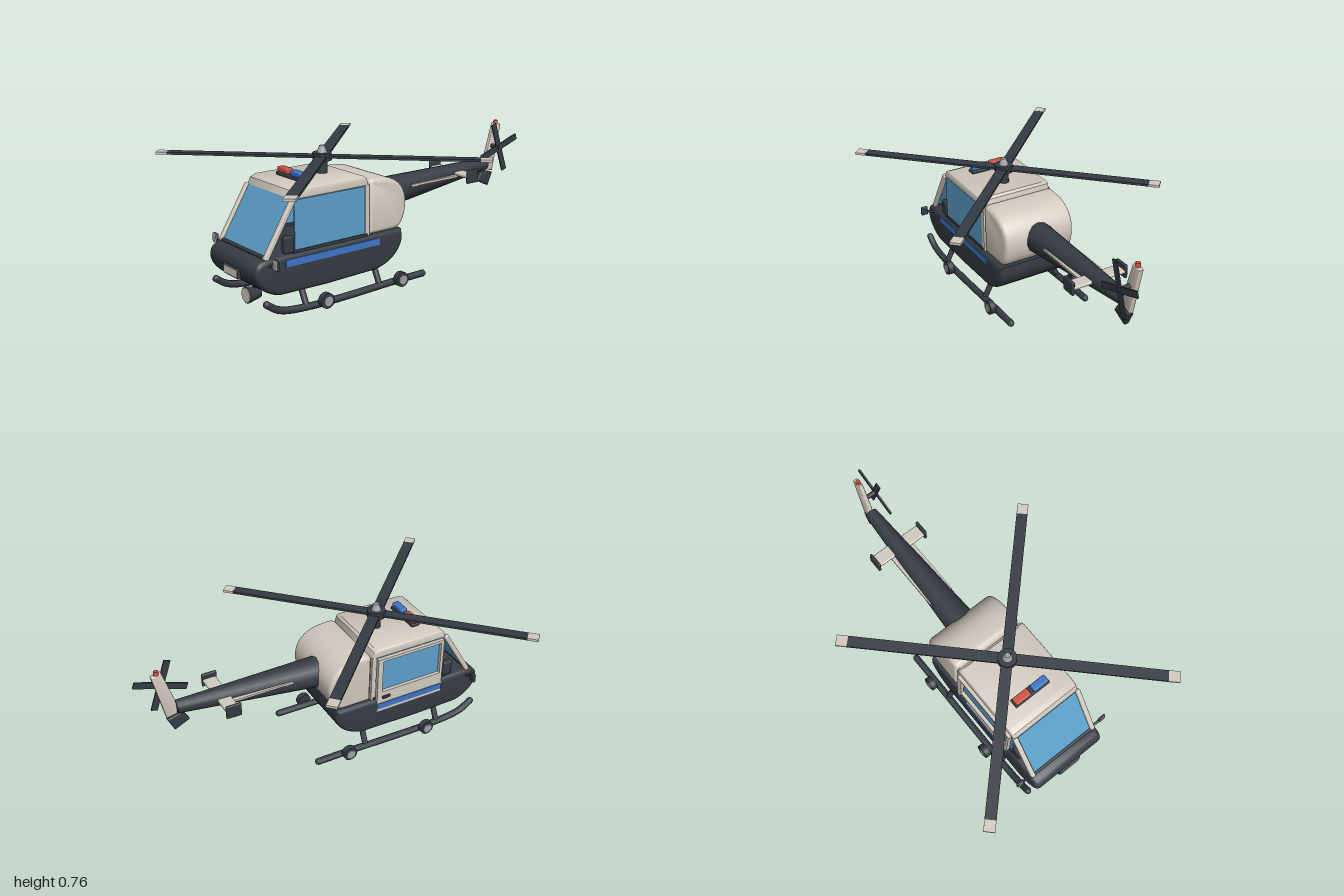
import * as THREE from 'three';
import { toCreasedNormals } from 'three/addons/utils/BufferGeometryUtils.js';
import { RoundedBoxGeometry } from 'three/addons/geometries/RoundedBoxGeometry.js';

const material = (name, color, side = THREE.FrontSide) => {
  const m = new THREE.MeshStandardMaterial({ color, side });
  m.name = name;
  return m;
};

export function createModel() {
  const dark = material('charcoal', 0x353c43);
  const cream = material('cream', 0xd3cbc0);
  const blue = material('blue', 0x3f74c8);
  const red = material('red', 0xd0503f);
  const grey = material('grey', 0x9ea3a7);
  const glass = material('glass', 0x5c9fc9, THREE.DoubleSide);

  const root = new THREE.Group();
  root.name = 'helicopter';
  const add = (name, geo, mat, pos = [0, 0, 0], rot = [0, 0, 0], parent = root) => {
    const mesh = new THREE.Mesh(geo, mat);
    mesh.name = name;
    mesh.position.set(...pos);
    mesh.rotation.set(...rot);
    parent.add(mesh);
    return mesh;
  };
  const box = (w, h, d) => new THREE.BoxGeometry(w, h, d);
  const rbox = (w, h, d, r = 0.008) => new RoundedBoxGeometry(w, h, d, 2, r);
  const cyl = (a, b, h, n = 20) => new THREE.CylinderGeometry(a, b, h, n);

  // Side outline in (z, y), extruded across x with rounded edges
  const slab = (shape, width, bevel) => {
    const g = new THREE.ExtrudeGeometry(shape, {
      depth: width - 2 * bevel, bevelEnabled: bevel > 0, bevelThickness: bevel,
      bevelSize: bevel, bevelOffset: -bevel, bevelSegments: 4, curveSegments: 10,
    });
    g.translate(0, 0, -(width - 2 * bevel) / 2);
    g.rotateY(-Math.PI / 2);
    return toCreasedNormals(g, 0.6);
  };
  const poly = (pts) => new THREE.Shape(pts.map((p) => new THREE.Vector2(...p)));
  // Cylinder or bar between two points
  const rod = (name, a, b, r, mat, n = 12) => {
    const p = new THREE.Vector3(...a), q = new THREE.Vector3(...b);
    const m = add(name, cyl(r, r, p.distanceTo(q), n), mat);
    m.position.copy(p).add(q).multiplyScalar(0.5);
    m.quaternion.setFromUnitVectors(new THREE.Vector3(0, 1, 0), q.sub(p).normalize());
    return m;
  };

  // Lower hull
  const hull = new THREE.Shape();
  hull.moveTo(0.01, 0.31);
  hull.lineTo(0.005, 0.27);
  hull.bezierCurveTo(0.005, 0.2, 0.08, 0.125, 0.19, 0.115);
  hull.lineTo(0.5, 0.108);
  hull.lineTo(0.78, 0.112);
  hull.bezierCurveTo(0.86, 0.13, 0.92, 0.19, 0.92, 0.245);
  hull.bezierCurveTo(0.92, 0.29, 0.89, 0.31, 0.83, 0.312);
  hull.closePath();
  add('lowerHull', slab(hull, 0.45, 0.025), dark);

  // Rounded engine housing behind the cabin
  const housing = new THREE.Shape();
  housing.moveTo(0.22, 0.31);
  housing.lineTo(0.22, 0.585);
  housing.quadraticCurveTo(0.215, 0.605, 0.18, 0.605);
  housing.lineTo(0.12, 0.6);
  housing.bezierCurveTo(0.03, 0.59, -0.03, 0.53, -0.03, 0.45);
  housing.bezierCurveTo(-0.03, 0.37, 0, 0.315, 0.05, 0.31);
  housing.closePath();
  add('engineHousing', slab(housing, 0.42, 0.025), cream);

  // Cabin roof, rear posts, sill and windscreen
  add('roof', slab(poly([[0.225, 0.575], [0.235, 0.615], [0.25, 0.626], [0.64, 0.626],
    [0.672, 0.612], [0.688, 0.575]]), 0.425, 0.012), cream);
  const slope = Math.atan2(0.165, 0.27);
  add('windscreen', box(0.38, 0.312, 0.008), glass, [0, 0.444, 0.768], [-slope, 0, 0]);
  add('windscreenSill', rbox(0.4, 0.018, 0.02), dark, [0, 0.314, 0.85]);
  for (const s of [-1, 1]) {
    add('windscreenPillar', rbox(0.026, 0.325, 0.028), cream, [s * 0.205, 0.444, 0.77], [-slope, 0, 0]);
    add('rearPost', box(0.02, 0.27, 0.025), cream, [s * 0.2, 0.445, 0.235]);
    add('sideWindow', box(0.008, 0.255, 0.432), glass, [s * 0.203, 0.447, 0.466]);
    add('windowSill', box(0.02, 0.014, 0.46), dark, [s * 0.203, 0.317, 0.466]);
    add('instrumentPod', rbox(0.035, 0.085, 0.055), dark, [s * 0.195, 0.357, 0.717]);
  }
  add('leftStripe', box(0.008, 0.036, 0.58), blue, [0.225, 0.272, 0.46]);

  // Sliding door on the right side
  const door = poly([[0.25, 0.235], [0.665, 0.235], [0.665, 0.575], [0.25, 0.575]]);
  door.holes.push(new THREE.Path([[0.28, 0.36], [0.28, 0.558], [0.648, 0.558], [0.648, 0.36]]
    .map((p) => new THREE.Vector2(...p))));
  add('doorPanel', slab(door, 0.02, 0), cream, [-0.22, 0, 0]);
  add('doorStripe', box(0.006, 0.036, 0.41), blue, [-0.231, 0.27, 0.458]);
  add('doorHandle', rbox(0.012, 0.016, 0.05, 0.004), dark, [-0.234, 0.325, 0.305]);

  // Nose plate and searchlight
  add('nosePlateFrame', rbox(0.145, 0.056, 0.02), dark, [0, 0.213, 0.917]);
  add('nosePlate', box(0.122, 0.04, 0.008), cream, [0, 0.213, 0.926]);
  add('searchlightMount', cyl(0.014, 0.014, 0.06), dark, [0, 0.105, 0.79]);
  add('searchlightBody', cyl(0.044, 0.028, 0.075, 24), dark, [0, 0.067, 0.805], [Math.PI / 2, 0, 0]);
  add('searchlightLens', cyl(0.039, 0.039, 0.008, 24), cream, [0, 0.067, 0.843], [Math.PI / 2, 0, 0]);

  // Mirrors, skids, struts and ground wheels
  for (const s of [-1, 1]) {
    rod('mirrorArm', [s * 0.21, 0.275, 0.84], [s * 0.275, 0.292, 0.845], 0.007, dark);
    add('mirrorShell', rbox(0.042, 0.054, 0.014, 0.006), dark, [s * 0.282, 0.299, 0.842]);
    add('mirror', rbox(0.036, 0.048, 0.012, 0.005), grey, [s * 0.282, 0.299, 0.847]);

    const path = new THREE.CatmullRomCurve3([[0.038, -0.12], [0.036, 0.1], [0.028, 0.4], [0.028, 0.6],
      [0.04, 0.76], [0.058, 0.82], [0.095, 0.875]].map(([y, z]) => new THREE.Vector3(s * 0.24, y, z)));
    add('skid', new THREE.TubeGeometry(path, 40, 0.019, 10), dark);
    add('skidRearCap', new THREE.SphereGeometry(0.019, 10, 6), dark, [s * 0.24, 0.038, -0.116]);
    add('skidFrontCap', new THREE.SphereGeometry(0.019, 10, 8), dark, [s * 0.24, 0.095, 0.875]);
    for (const z of [0.18, 0.645])
      rod('skidStrut', [s * 0.24, 0.035, z], [s * 0.19, 0.135, z], 0.016, dark);
    for (const [z, x] of [[0.06, 0.27], [0.55, 0.278]]) {
      add('groundWheel', cyl(0.04, 0.04, 0.032, 20), dark, [s * x, 0.053, z], [0, 0, Math.PI / 2]);
      add('wheelHub', cyl(0.025, 0.025, 0.01, 16), grey, [s * (x + 0.016), 0.053, z], [0, 0, Math.PI / 2]);
    }
  }

  // Tapered tail boom, with its upper line kept level
  const boom = cyl(1, 1, 1, 14);
  boom.rotateX(Math.PI / 2);
  const bp = boom.attributes.position;
  for (let i = 0; i < bp.count; i++) {
    const t = 0.5 - bp.getZ(i);
    const ry = THREE.MathUtils.lerp(0.09, 0.036, t);
    bp.setXYZ(i, bp.getX(i) * THREE.MathUtils.lerp(0.086, 0.036, t), 0.538 - ry + bp.getY(i) * ry, 0.02 - 0.825 * t);
  }
  add('tailBoom', toCreasedNormals(boom, 0.6), dark);
  add('boomStrake', box(0.15, 0.012, 0.34), cream, [0, 0.482, -0.35]);
  add('stabiliser', rbox(0.31, 0.02, 0.075), cream, [0, 0.492, -0.557]);
  for (const s of [-1, 1]) add('stabiliserEndPlate', rbox(0.016, 0.076, 0.084, 0.006), dark, [s * 0.157, 0.493, -0.556]);

  // Tail fins, beacon and tail rotor
  add('upperFin', slab(poly([[-0.795, 0.47], [-0.86, 0.455], [-0.92, 0.725], [-0.865, 0.738], [-0.81, 0.56]]), 0.028, 0.007), cream);
  add('lowerFin', slab(poly([[-0.775, 0.47], [-0.86, 0.445], [-0.825, 0.37], [-0.74, 0.41]]), 0.032, 0.007), dark);
  add('tailBeacon', cyl(0.012, 0.015, 0.024, 12), red, [0, 0.739, -0.888]);
  rod('tailRotorShaft', [0, 0.605, -0.85], [0.08, 0.605, -0.85], 0.013, dark);
  const tailRotor = new THREE.Group();
  tailRotor.name = 'tailRotor';
  tailRotor.position.set(0.07, 0.605, -0.85);
  tailRotor.rotation.x = 0.33;
  root.add(tailRotor);
  add('tailRotorBlades', box(0.008, 0.036, 0.295), dark, [0, 0, 0], [0, 0, 0], tailRotor);
  add('tailRotorBlades', box(0.007, 0.295, 0.036), dark, [0, 0, 0], [0, 0, 0], tailRotor);

  // Roof light bar
  add('lightBarBase', rbox(0.22, 0.018, 0.05, 0.006), dark, [0, 0.635, 0.553]);
  add('redLight', rbox(0.094, 0.028, 0.042), red, [-0.057, 0.657, 0.553]);
  add('blueLight', rbox(0.094, 0.028, 0.042), blue, [0.057, 0.657, 0.553]);

  // Main rotor
  const rotor = new THREE.Group();
  rotor.name = 'mainRotor';
  rotor.position.set(0, 0.712, 0.365);
  root.add(rotor);
  add('mast', cyl(0.026, 0.028, 0.1), dark, [0, -0.05, 0], [0, 0, 0], rotor);
  add('rotorHub', cyl(0.05, 0.05, 0.04, 24), dark, [0, 0, 0], [0, 0, 0], rotor);
  add('hubCap', cyl(0.014, 0.027, 0.036), grey, [0, 0.038, 0], [0, 0, 0], rotor);
  for (let i = 0; i < 4; i++) {
    const arm = new THREE.Group();
    arm.name = 'rotorBlade';
    arm.rotation.y = Math.PI / 4 + (i * Math.PI) / 2;
    rotor.add(arm);
    add('blade', box(0.8, 0.012, 0.058), dark, [0.41, 0, 0], [0, 0, 0], arm);
    add('bladeTip', box(0.058, 0.013, 0.058), cream, [0.839, 0, 0], [0, 0, 0], arm);
  }
  return root;
}
